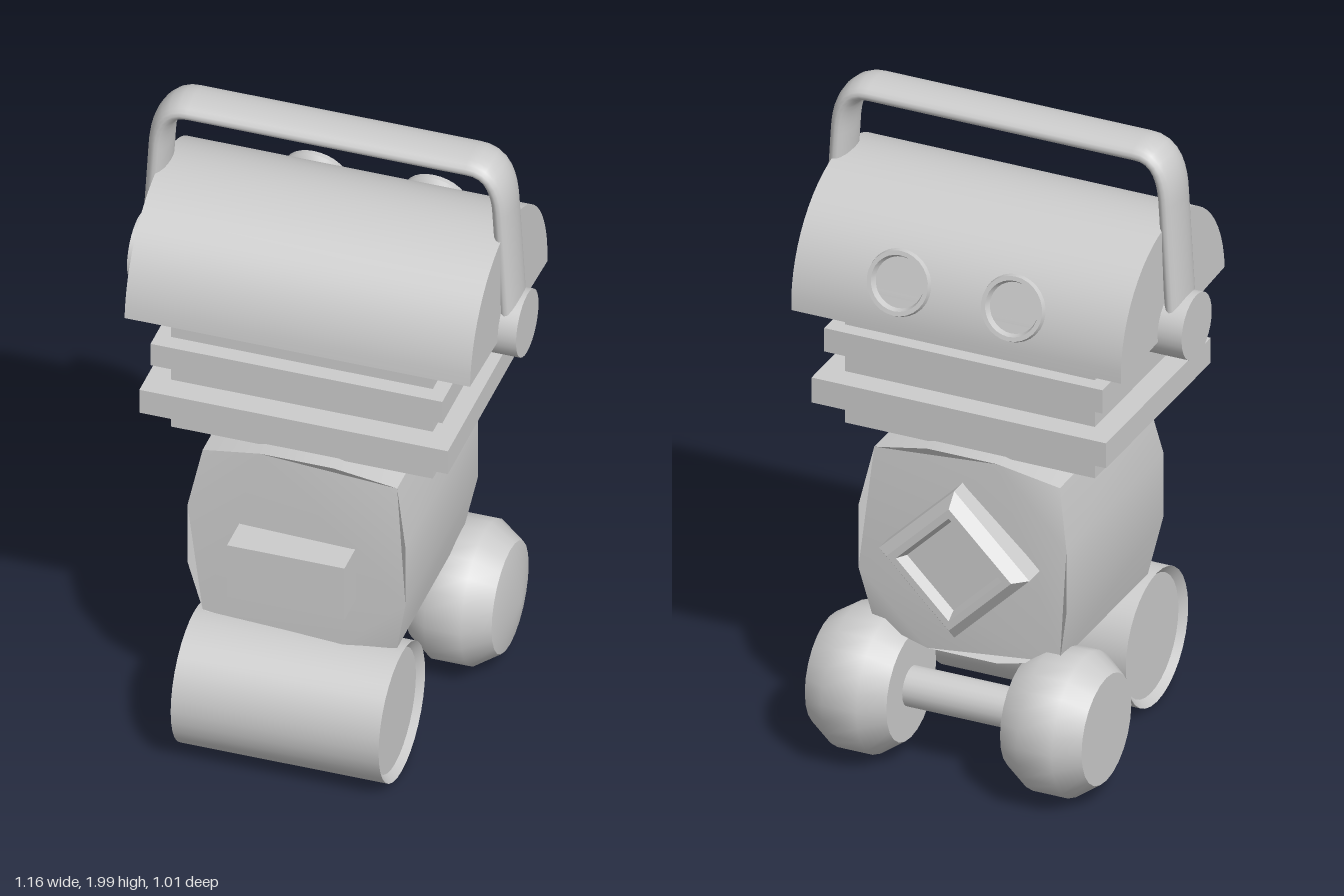
import * as THREE from 'three';
import { toCreasedNormals } from 'three/addons/utils/BufferGeometryUtils.js';

const material = new THREE.MeshStandardMaterial({ color: 0xcccccc });

export function createModel() {
  const model = new THREE.Group();

  function add(name, geometry, x = 0, y = 0, z = 0) {
    const mesh = new THREE.Mesh(geometry, material);
    mesh.name = name;
    mesh.position.set(x, y, z);
    model.add(mesh);
    return mesh;
  }
  // Box given by its extents
  const box = (name, x, y0, y1, z0, z1) =>
    add(name, new THREE.BoxGeometry(2 * x, y1 - y0, z1 - z0), 0, (y0 + y1) / 2, (z0 + z1) / 2);
  // Turned profile of [radius, height] pairs, from bottom to top
  const turned = (profile, sides, crease = 0.6) =>
    toCreasedNormals(new THREE.LatheGeometry(profile.map(p => new THREE.Vector2(...p)), sides), crease);
  const alongX = geometry => geometry.rotateZ(-Math.PI / 2);

  // Front roller with dished ends
  add('frontRoller', alongX(turned([
    [0, -0.29], [0.185, -0.29], [0.207, -0.31], [0.207, 0.31], [0.185, 0.29], [0, 0.29],
  ], 32)), 0, 0.212, 0.302);

  // Rear wheels, both with the shallow cone towards +x, and their axle
  for (const [name, x] of [['rearWheelLeft', 0.305], ['rearWheelRight', -0.305]]) {
    add(name, alongX(turned([
      [0, -0.125], [0.165, -0.125], [0.215, -0.055], [0.215, 0.055], [0.165, 0.13], [0, 0.165],
    ], 24, 0.75)), x, 0.232, -0.288);
  }
  add('rearAxle', alongX(new THREE.CylinderGeometry(0.06, 0.06, 0.5, 20)), 0, 0.232, -0.288);

  // Bulging body: extruded outline whose corners are drawn in
  const right = [[0.11, 0.39], [0.29, 0.42], [0.325, 0.6], [0.325, 0.8], [0.29, 0.98], [0.11, 1.03]];
  const outline = [...right, ...right.map(([x, y]) => [-x, y]).reverse()];
  const body = new THREE.ExtrudeGeometry(
    new THREE.Shape(outline.map(p => new THREE.Vector2(...p))), { depth: 0.645, bevelEnabled: false });
  body.translate(0, 0, -0.3225);
  const pos = body.attributes.position;
  for (let i = 0; i < pos.count; i++) {
    if (Math.abs(Math.abs(pos.getX(i)) - 0.29) < 0.01) pos.setZ(i, pos.getZ(i) * 0.905);
  }
  add('body', toCreasedNormals(body, 0.45), 0, 0, -0.008);
  box('chestBlock', 0.175, 0.58, 0.76, 0.28, 0.41);

  // Diamond frame on the back with a sunken panel
  add('backDiamond', turned([
    [0, -0.03], [0.235, -0.03], [0.235, 0.055], [0.195, 0.092], [0.165, 0.092], [0.145, 0.06], [0, 0.06],
  ], 4, 0.1).rotateX(-Math.PI / 2), 0, 0.71, -0.33);

  // Ribbed neck
  box('neck', 0.39, 1.025, 1.45, -0.28, 0.265);
  box('lowerNeckPlate', 0.46, 1.11, 1.19, -0.355, 0.34);
  box('upperNeckPlate', 0.435, 1.265, 1.34, -0.325, 0.315);

  // Half-round head, tilted slightly backwards
  const dome = new THREE.Shape();
  dome.absarc(0.007, 1.41, 0.345, -0.058, Math.PI - 0.058, false);
  dome.closePath();
  const head = new THREE.ExtrudeGeometry(dome, { depth: 1.03, bevelEnabled: false, curveSegments: 14 });
  head.rotateY(Math.PI / 2);
  add('head', toCreasedNormals(head, 0.6), -0.505, 0, 0);

  // Round rimmed discs on the back of the head
  for (const x of [-0.16, 0.197]) {
    const disc = add('rimmedDisc', turned([
      [0, -0.022], [0.085, -0.022], [0.099, -0.005], [0.095, 0.01], [0.082, 0.01], [0.075, -0.008], [0, -0.008],
    ], 28).rotateX(-Math.PI / 2), x, 1.545, -0.335);
    disc.rotation.x = 0.28;
  }

  // Handle pivot running through the head
  add('handlePivot', alongX(new THREE.CylinderGeometry(0.1, 0.1, 1.16, 28)), 0, 1.425, -0.008);

  // Carrying handle: flat oval tube bent over the head
  const v = (x, y) => new THREE.Vector3(x, y, 0);
  const path = new THREE.CurvePath();
  path.add(new THREE.LineCurve3(v(-0.534, 1.46), v(-0.512, 1.83)));
  path.add(new THREE.QuadraticBezierCurve3(v(-0.512, 1.83), v(-0.504, 1.967), v(-0.42, 1.967)));
  path.add(new THREE.LineCurve3(v(-0.42, 1.967), v(0.42, 1.967)));
  path.add(new THREE.QuadraticBezierCurve3(v(0.42, 1.967), v(0.504, 1.967), v(0.512, 1.83)));
  path.add(new THREE.LineCurve3(v(0.512, 1.83), v(0.534, 1.46)));
  const handle = new THREE.TubeGeometry(path, 80, 0.032, 20, false);
  handle.scale(1, 1, 2.35);
  add('handle', handle, 0.004, 0, -0.008);

  return model;
}
